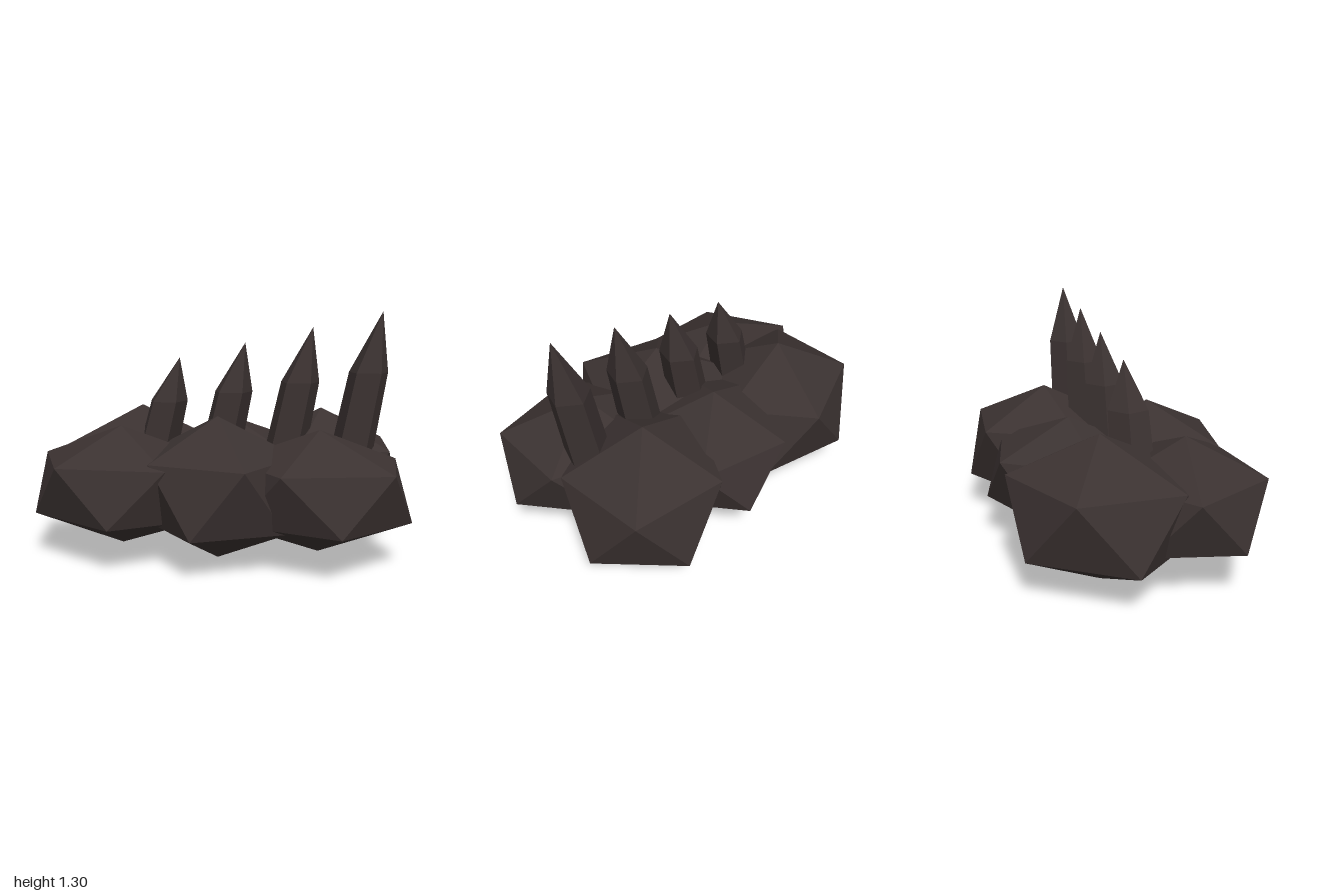
import * as THREE from 'three';
import { ConvexGeometry } from 'three/addons/geometries/ConvexGeometry.js';

const TAU = Math.PI * 2;

// Icosahedral boulder standing on one corner: rings of five at the heights of
// a regular icosahedron, stretched to an ellipse (long, short) and turned.
function boulderGeometry(long, short, halfHeight, degrees) {
  const turn = THREE.MathUtils.degToRad(degrees);
  const points = [new THREE.Vector3(0, halfHeight, 0), new THREE.Vector3(0, -halfHeight, 0)];
  for (const level of [1, -1]) {
    for (let i = 0; i < 5; i++) {
      const t = (i / 5) * TAU + (level < 0 ? Math.PI : 0);
      const u = long * Math.cos(t), v = short * Math.sin(t);
      points.push(new THREE.Vector3(
        u * Math.cos(turn) - v * Math.sin(turn),
        (level * halfHeight) / Math.sqrt(5),
        u * Math.sin(turn) + v * Math.cos(turn)
      ));
    }
  }
  return new ConvexGeometry(points);
}

// Five-sided spike: a slightly tapering shaft and a pointed tip, leaning to +x.
function spikeGeometry(height) {
  const geometry = new THREE.CylinderGeometry(1, 1, 2, 5, 2, true, Math.PI);
  const rows = [
    { r: 0.127, y: 0, lean: 0 },
    { r: 0.108, y: 0.68 * height, lean: 0.125 },
    { r: 0, y: height, lean: 0.192 },
  ];
  const pos = geometry.attributes.position;
  for (let i = 0; i < pos.count; i++) {
    const row = rows[Math.round(pos.getY(i)) + 1];
    pos.setXYZ(i, pos.getX(i) * row.r + row.lean, row.y, pos.getZ(i) * row.r);
  }
  geometry.computeVertexNormals();
  return geometry;
}

export function createModel() {
  const model = new THREE.Group();
  model.name = 'spikedRocks';
  const stone = new THREE.MeshStandardMaterial({ color: 0x3b3231, flatShading: true });
  stone.name = 'darkStone';

  // Two rows of three boulders, alternating tall and low
  const boulders = [
    // name, x, z, long, short, half height, turn
    ['backRightBoulder', -0.53, -0.23, 0.478, 0.42, 0.38, 142.7],
    ['backMiddleBoulder', 0, -0.23, 0.48, 0.415, 0.32, -37],
    ['backLeftBoulder', 0.51, -0.23, 0.481, 0.415, 0.38, -43],
    ['frontRightBoulder', -0.53, 0.22, 0.487, 0.407, 0.32, 195.6],
    ['frontMiddleBoulder', -0.01, 0.22, 0.474, 0.418, 0.38, 65],
    ['frontLeftBoulder', 0.52, 0.22, 0.475, 0.41, 0.32, 183],
  ];
  for (const [name, x, z, long, short, half, turn] of boulders) {
    const boulder = new THREE.Mesh(boulderGeometry(long, short, half, turn), stone);
    boulder.name = name;
    boulder.position.set(x, 0.38, z);
    model.add(boulder);
  }

  // Row of spikes, growing taller towards +x
  for (let i = 0; i < 4; i++) {
    const spike = new THREE.Mesh(spikeGeometry(0.75 + i * 0.083), stone);
    spike.name = 'spike' + (i + 1);
    spike.position.set(-0.45 + i * 0.363, 0.3, -0.01);
    model.add(spike);
  }
  return model;
}
